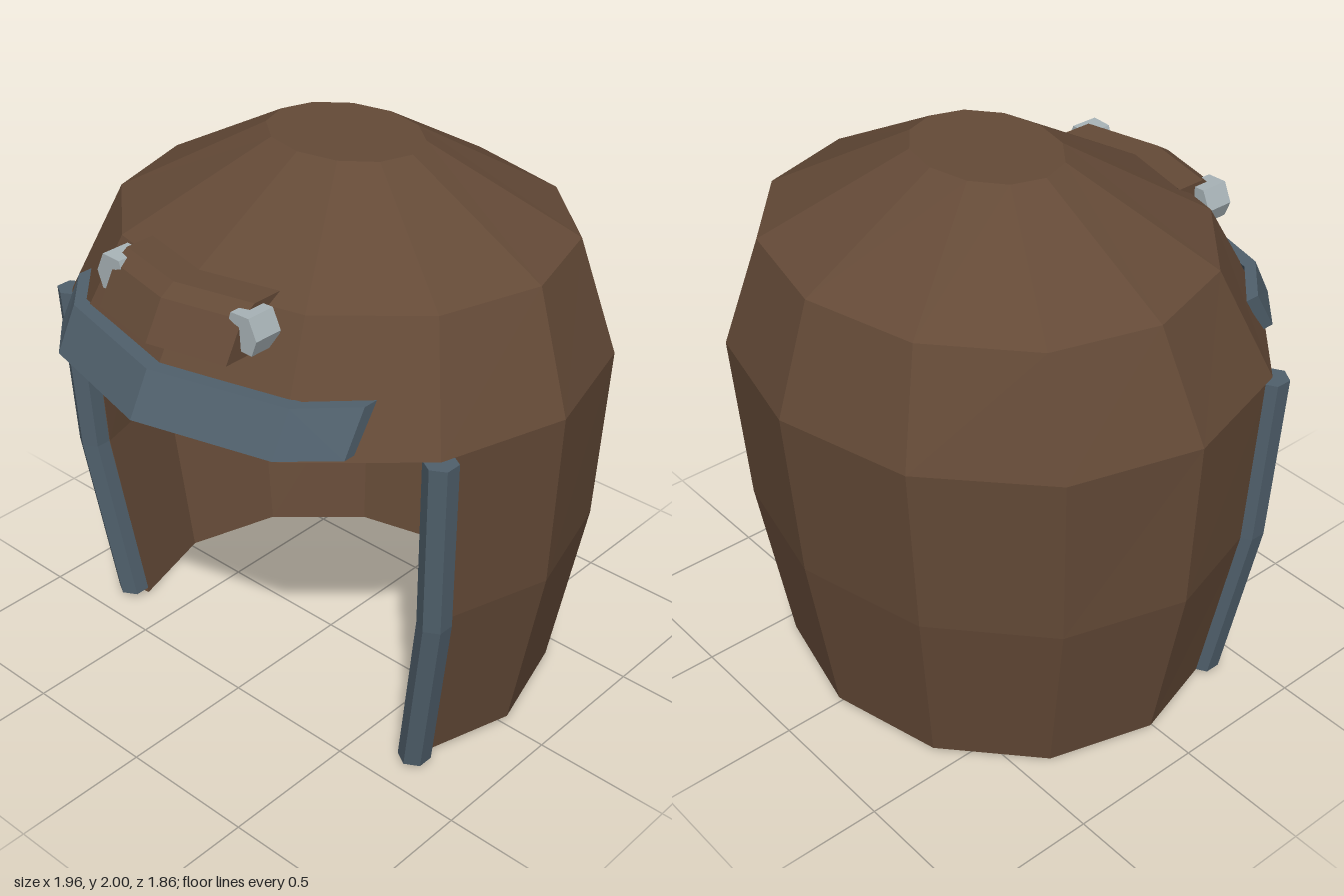
import * as THREE from 'three';

const paint = (color) => new THREE.MeshStandardMaterial({ color, flatShading: true });
const leather = paint(0x644a37);
const steel = paint(0x50606c);
const silver = paint(0xa9b4b8);

// Rings from crown to hem: [y, half width, half depth, centre z]
const OUTER = [[2, 0.29, 0.23, -0.07], [1.715, 0.82, 0.73, -0.07], [1.32, 0.98, 0.91, -0.02],
  [0.68, 0.953, 0.86, -0.02], [0.02, 0.83, 0.757, -0.02]];
const INNER = [[1.94, 0.27, 0.21, -0.07], [1.68, 0.77, 0.68, -0.07], [1.305, 0.92, 0.85, -0.02],
  [0.68, 0.893, 0.80, -0.02], [0.0, 0.77, 0.70, -0.02]];
const SIDES = 12;
const BROW = 2; // ring at which the face opening starts

function ringPoint([y, rx, rz, cz], k) {
  const a = (k * Math.PI * 2) / SIDES;
  return [rx * Math.sin(a), y, cz + rz * Math.cos(a)];
}

// Mesh from convex polygons, each counter-clockwise from outside
function polyMesh(name, polys, material) {
  const pos = [];
  for (const p of polys)
    for (let i = 1; i < p.length - 1; i++) pos.push(...p[0], ...p[i], ...p[i + 1]);
  const geo = new THREE.BufferGeometry();
  geo.setAttribute('position', new THREE.Float32BufferAttribute(pos, 3));
  geo.computeVertexNormals();
  const mesh = new THREE.Mesh(geo, material);
  mesh.name = name;
  return mesh;
}

// Closed solid through convex cross-sections
function loft(name, sections, material) {
  const polys = [[...sections[0]].reverse(), sections[sections.length - 1]];
  for (let s = 0; s < sections.length - 1; s++) {
    const p = sections[s], q = sections[s + 1];
    p.forEach((_, j) => {
      const n = (j + 1) % p.length;
      polys.push([p[j], p[n], q[n], q[j]]);
    });
  }
  return polyMesh(name, polys, material);
}

// Thick twelve-sided shell, open at the face below the brow
function makeShell() {
  const polys = [];
  const o = (r, k) => ringPoint(OUTER[r], k);
  const i = (r, k) => ringPoint(INNER[r], k);
  const crown = [], lining = [];
  for (let k = 0; k < SIDES; k++) {
    crown.push(o(0, k));
    lining.unshift(i(0, k));
    const open = k < 2 || k >= SIDES - 2;
    const last = open ? BROW : OUTER.length - 1;
    for (let r = 0; r < last; r++) {
      polys.push([o(r + 1, k), o(r + 1, k + 1), o(r, k + 1), o(r, k)]);
      polys.push([i(r, k), i(r, k + 1), i(r + 1, k + 1), i(r + 1, k)]);
    }
    polys.push([i(last, k), i(last, k + 1), o(last, k + 1), o(last, k)]);
  }
  // Front edges of the cheeks
  for (let r = BROW; r < OUTER.length - 1; r++) {
    polys.push([i(r, 2), i(r + 1, 2), o(r + 1, 2), o(r, 2)]);
    polys.push([o(r, 10), o(r + 1, 10), i(r + 1, 10), i(r, 10)]);
  }
  polys.push(crown, lining);
  return polyMesh('helmetShell', polys, leather);
}

// Hexagonal bar following a cheek edge
function makeTrim(k, name) {
  const sections = [4, 3, 2].map((r) => {
    const [x, y, z] = ringPoint(OUTER[r], k);
    return Array.from({ length: 6 }, (_, j) => {
      const a = Math.PI / 6 + (j * Math.PI) / 3;
      return [x + 0.058 * Math.cos(a), y, z - 0.058 * Math.sin(a)];
    });
  });
  return loft(name, sections, steel);
}

// Sloping band over the brow: [x, bottom z, top z] of its outer face
function makeBrowBand() {
  const stations = [[-0.65, 0.65, 0.56], [-0.49, 0.80, 0.72], [0, 0.925, 0.845],
    [0.49, 0.80, 0.72], [0.65, 0.65, 0.56]];
  const t = 0.055;
  return loft('browBand', stations.map(([x, b, u]) =>
    [[x, 1.34, b], [x, 1.34, b - t], [x, 1.49, u - t], [x, 1.49, u]]), steel);
}

// Raised pad on the forehead, bent at the middle
function makePad() {
  const profile = [[0.843, 1.58], [0.70, 1.58], [0.605, 1.745], [0.715, 1.745], [0.77, 1.71]];
  return loft('foreheadPad', [-0.285, 0, 0.285].map((x) =>
    profile.map(([z, y]) => [x, y, z - (x ? 0.065 : 0)])), leather);
}

// Bent metal clip at one end of the pad
function makeClip(side, name) {
  const outline = [[0.24, 1.70], [0.25, 1.73], [0.325, 1.733], [0.357, 1.665], [0.335, 1.608],
    [0.29, 1.61], [0.285, 1.69]].map(([x, y]) => new THREE.Vector2(side * x, y));
  const geo = new THREE.ExtrudeGeometry(new THREE.Shape(outline), { depth: 0.105, bevelEnabled: false });
  const mesh = new THREE.Mesh(geo, silver);
  mesh.position.z = 0.613;
  mesh.name = name;
  return mesh;
}

export function createModel() {
  const model = new THREE.Group();
  model.name = 'helmet';
  model.add(makeShell(), makeTrim(2, 'leftCheekTrim'), makeTrim(10, 'rightCheekTrim'),
    makeBrowBand(), makePad(), makeClip(1, 'leftClip'), makeClip(-1, 'rightClip'));
  return model;
}
